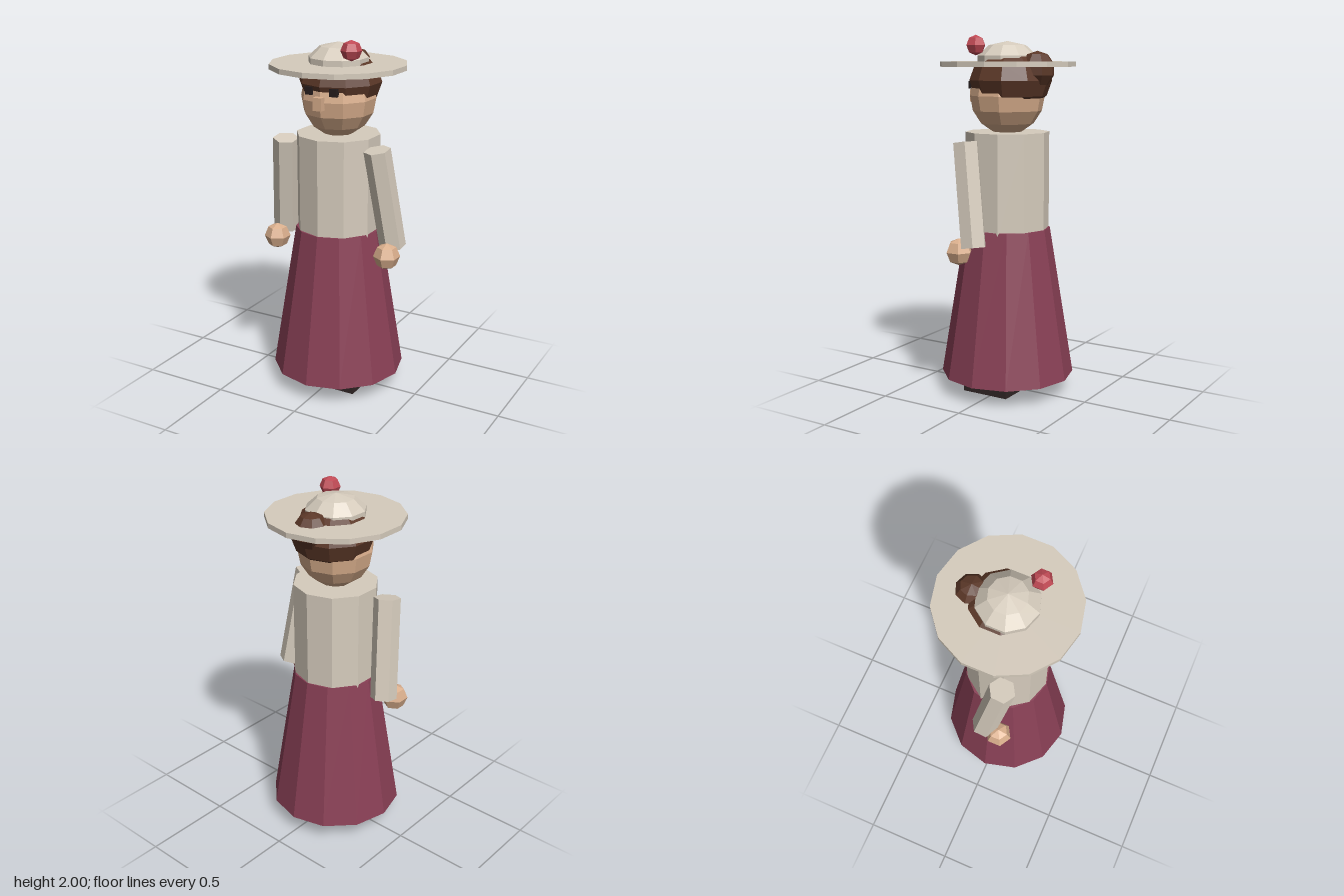
import * as THREE from 'three';

const material = (name, color) => {
  const m = new THREE.MeshStandardMaterial({ color, flatShading: true });
  m.name = name;
  return m;
};

export function createModel() {
  const cream = material('cream cloth', 0xd6ccbd);
  const plum = material('plum skirt', 0x8a4056);
  const skin = material('skin', 0xdaaf8d);
  const brown = material('brown hair', 0x5c3828);
  const rose = material('rose bobble', 0xc04a55);
  const dark = material('dark leather', 0x302525);
  const black = material('eye black', 0x261d1d);

  const model = new THREE.Group();
  model.name = 'woman';

  const add = (name, geometry, mat, x, y, z) => {
    const mesh = new THREE.Mesh(geometry, mat);
    mesh.name = name;
    mesh.position.set(x, y, z);
    model.add(mesh);
    return mesh;
  };
  // Faceted ball with a vertex on the z axis, flattened or stretched to height h
  const ball = (r, h, sides, rings) =>
    new THREE.SphereGeometry(r, sides, rings).rotateY(Math.PI / 2).scale(1, h / r, 1);
  const drum = (top, bottom, height, sides) =>
    new THREE.CylinderGeometry(top, bottom, height, sides);
  const box = (w, h, d) => new THREE.BoxGeometry(w, h, d);

  // Clothing
  add('skirt', drum(0.238, 0.374, 0.84, 12), plum, 0, 0.52, 0);
  add('blouse', drum(0.233, 0.233, 0.575, 10), cream, 0, 1.1875, 0);

  // Head
  add('head', ball(0.207, 0.215, 10, 8), skin, 0, 1.673, 0);
  add('nose', box(0.05, 0.07, 0.06), skin, 0, 1.67, 0.203);
  add('hair', ball(0.228, 0.17, 10, 6), brown, 0, 1.757, -0.022);
  add('hairBun', ball(0.098, 0.1, 8, 5), brown, 0, 1.815, -0.189);

  // Hat
  add('hatBrim', drum(0.374, 0.374, 0.028, 14), cream, 0, 1.844, 0);
  add('hatCrown', ball(0.172, 0.114, 10, 5), cream, 0, 1.854, 0);
  add('hatBobble', ball(0.057, 0.055, 6, 4), rose, 0.14, 1.945, 0.115);

  // Paired parts
  for (const [side, s] of [['left', 1], ['right', -1]]) {
    add(side + 'Eye', box(0.042, 0.042, 0.04), black, s * 0.074, 1.73, 0.174);
    add(side + 'Boot', box(0.15, 0.13, 0.28), dark, s * 0.115, 0.065, 0.035);
    add(side + 'Hand', ball(0.074, 0.074, 6, 4), skin, s * 0.35, 0.846, 0.092);

    // Sleeve slants outwards and back from shoulder to cuff
    const shoulder = new THREE.Vector3(s * 0.283, 1.43, 0.09);
    const cuff = new THREE.Vector3(s * 0.343, 0.875, 0.003);
    const axis = shoulder.clone().sub(cuff);
    const mid = shoulder.clone().add(cuff).multiplyScalar(0.5);
    const sleeve = add(side + 'Sleeve', drum(0.073, 0.073, axis.length(), 6), cream, mid.x, mid.y, mid.z);
    sleeve.quaternion.setFromUnitVectors(new THREE.Vector3(0, 1, 0), axis.normalize());
  }

  return model;
}
